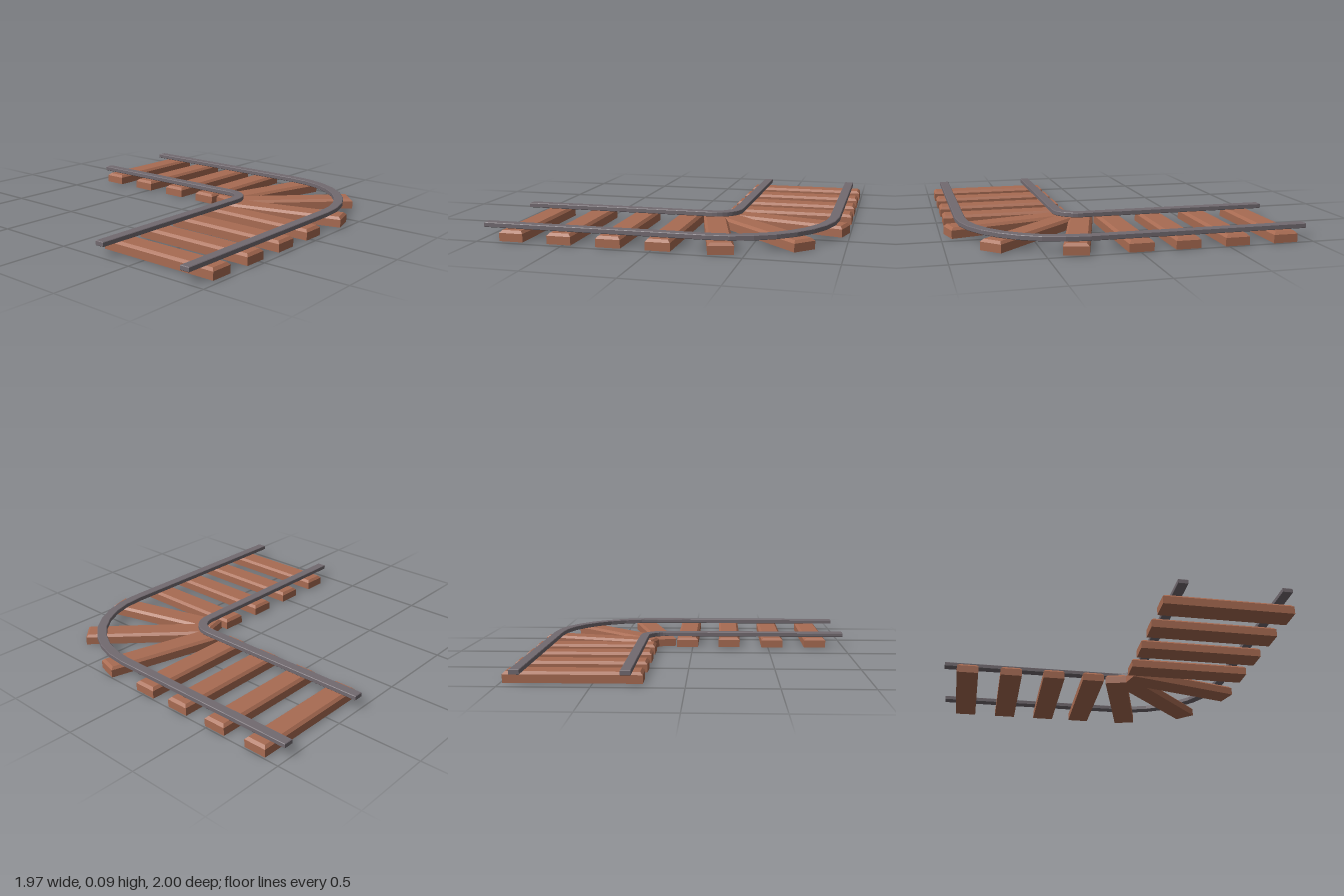
import * as THREE from 'three';

const wood = new THREE.MeshStandardMaterial({ color: 0xa86b52 });
wood.name = 'brown wood';
const steel = new THREE.MeshStandardMaterial({ color: 0x726a70 });
steel.name = 'grey steel';

// Plank along z, with its top edges chamfered all round
function sleeperGeometry(width, height, length, chamfer) {
  const box = new THREE.BoxGeometry(width, height, length, 1, 2, 1);
  box.translate(0, height / 2, 0);
  const p = box.attributes.position;
  for (let i = 0; i < p.count; i++) {
    const y = p.getY(i);
    if (y > height * 0.9) {
      p.setX(i, p.getX(i) - Math.sign(p.getX(i)) * chamfer);
      p.setZ(i, p.getZ(i) - Math.sign(p.getZ(i)) * chamfer);
    } else if (y > height * 0.1) {
      p.setY(i, height - chamfer);
    }
  }
  const flat = box.toNonIndexed();
  flat.computeVertexNormals();
  return flat;
}

// Rail bending from the left arm to the front arm; plan is drawn in x and -z
function rail(name, cx, cy, radius, segments) {
  const h = 0.029;
  const outer = radius + h, inner = radius - h;
  const shape = new THREE.Shape();
  shape.moveTo(-0.988, cy + inner);
  const arc = (r, from, to) => {
    for (let i = 0; i <= segments; i++) {
      const a = from + ((to - from) * i) / segments;
      shape.lineTo(cx + r * Math.cos(a), cy + r * Math.sin(a));
    }
  };
  arc(inner, Math.PI / 2, 0);
  shape.lineTo(cx + inner, -1);
  shape.lineTo(cx + outer, -1);
  arc(outer, 0, Math.PI / 2);
  shape.lineTo(-0.988, cy + outer);
  shape.closePath();
  const bevel = 0.003;
  const geometry = new THREE.ExtrudeGeometry(shape, {
    depth: 0.028 - 2 * bevel, bevelEnabled: true, bevelSegments: 1,
    bevelSize: bevel, bevelThickness: bevel, bevelOffset: -bevel,
  });
  geometry.rotateX(-Math.PI / 2);
  const mesh = new THREE.Mesh(geometry, steel);
  mesh.position.y = 0.062 + bevel;
  mesh.name = name;
  return mesh;
}

export function createModel() {
  const track = new THREE.Group();
  track.name = 'curvedTrack';

  // Sleepers: x, z and turn in degrees
  const places = [];
  for (const x of [-0.837, -0.553, -0.27, -0.007]) places.push([x, -0.61, 0]);
  places.push([0.246, -0.61, 15], [0.498, -0.522, 45], [0.592, -0.28, 75]);
  for (const z of [-0.035, 0.243, 0.527, 0.81]) places.push([0.583, z, 90]);

  const geometry = sleeperGeometry(0.14, 0.062, 0.76, 0.015);
  const sleepers = new THREE.Group();
  sleepers.name = 'sleepers';
  places.forEach(([x, z, turn], i) => {
    const sleeper = new THREE.Mesh(geometry, wood);
    sleeper.name = `sleeper${i + 1}`;
    sleeper.position.set(x, 0, z);
    sleeper.rotation.y = -THREE.MathUtils.degToRad(turn);
    sleepers.add(sleeper);
  });
  track.add(sleepers);

  // Rails
  track.add(rail('outerRail', 0.26, 0.285, 0.62, 8));
  track.add(rail('innerRail', 0.155, 0.182, 0.133, 8));
  return track;
}
